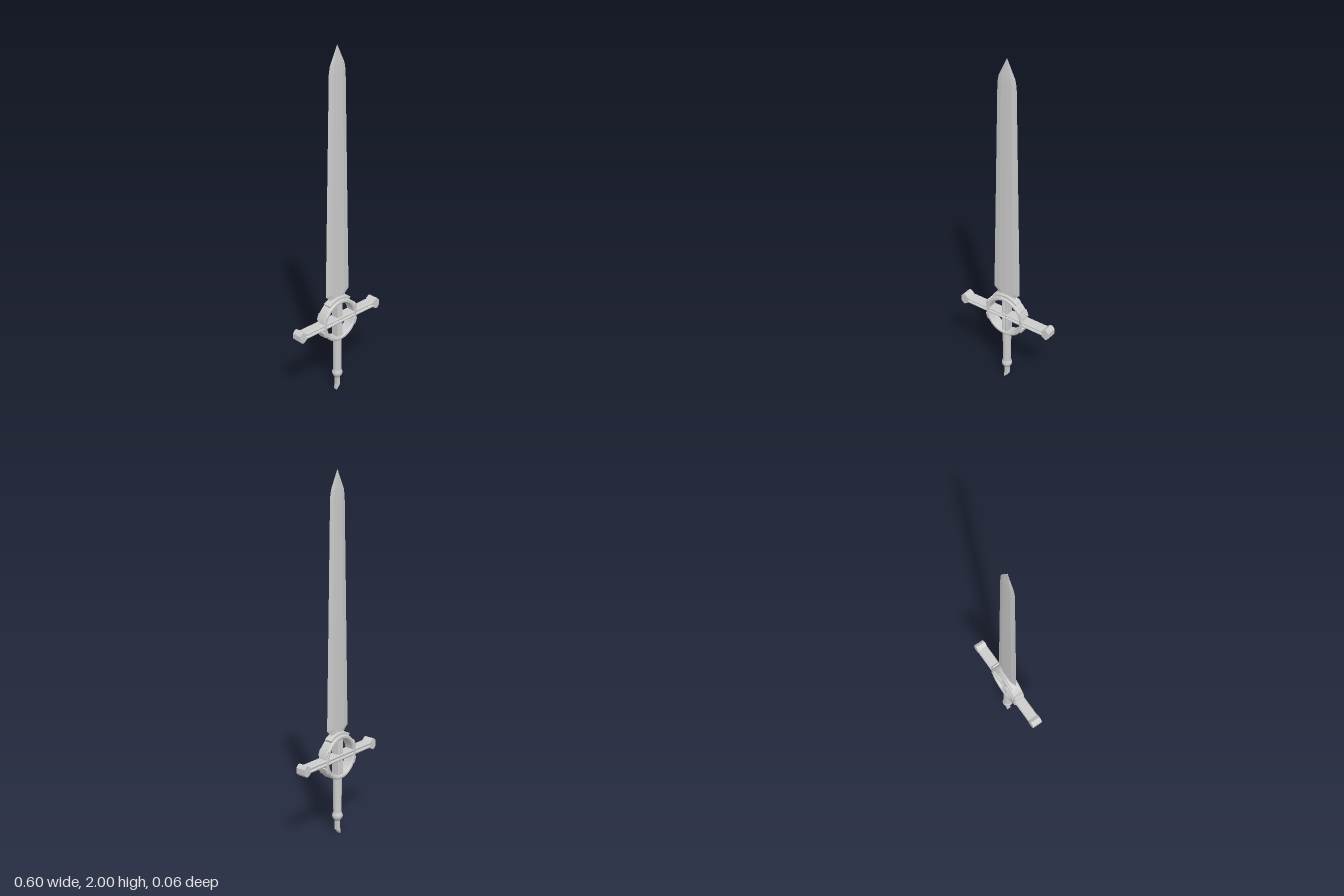
import * as THREE from 'three';

const CY = 0.458; // height of the guard ring centre
const flat = new THREE.MeshStandardMaterial({ color: 0xcccccc, flatShading: true, side: THREE.DoubleSide });
const smooth = new THREE.MeshStandardMaterial({ color: 0xcccccc, side: THREE.DoubleSide });

function add(group, name, geometry, material = flat) {
  const mesh = new THREE.Mesh(geometry, material);
  mesh.name = name;
  group.add(mesh);
  return mesh;
}

// Extrudes a shape to a total depth of 2 * half, centred on z = 0, with a chamfer
function slab(shape, half, bevel = 0, curveSegments = 8) {
  const g = new THREE.ExtrudeGeometry(shape, {
    depth: 2 * (half - bevel), bevelEnabled: bevel > 0, bevelSize: bevel, bevelThickness: bevel,
    bevelOffset: -bevel, bevelSegments: 1, curveSegments,
  });
  return g.translate(0, 0, bevel - half);
}

const polygon = (pts) => new THREE.Shape(pts.map(([x, y]) => new THREE.Vector2(x, y)));

// Band of a ring between two angles in degrees
function arcBand(inner, outer, from, to) {
  const a = THREE.MathUtils.degToRad(from), b = THREE.MathUtils.degToRad(to);
  const s = new THREE.Shape();
  s.absarc(0, 0, outer, a, b, false);
  s.absarc(0, 0, inner, b, a, true);
  return s;
}

// Bevelled blade lofted through eight-sided sections: [height, half width, half thickness]
function bladeGeometry() {
  const levels = [[0.57, 0.05, 0.008], [0.598, 0.06, 0.008], [0.62, 0.086, 0.008], [1.86, 0.058, 0.008],
    [1.9, 0.05, 0.007], [2, 0, 0]];
  const section = [[1, 0], [0.55, 0.85], [0, 1], [-0.55, 0.85], [-1, 0], [-0.55, -0.85], [0, -1], [0.55, -0.85]];
  const n = section.length, pos = [], index = [];
  for (const [y, w, t] of levels) for (const [x, z] of section) pos.push(x * w, y, z * t);
  for (let l = 0; l < levels.length - 1; l++) {
    for (let i = 0; i < n; i++) {
      const a = l * n + i, b = l * n + (i + 1) % n;
      index.push(a, a + n, b);
      if (l < levels.length - 2) index.push(b, a + n, b + n);
    }
  }
  const g = new THREE.BufferGeometry();
  g.setAttribute('position', new THREE.Float32BufferAttribute(pos, 3));
  g.setIndex(index);
  g.computeVertexNormals();
  return g;
}

// Bar along y with a shallow groove down its front and back
function groovedBar(halfWidth, halfDepth, length) {
  const w = halfWidth, d = halfDepth, c = 0.005, k = 0.007;
  const half = [[w, d - c], [w - c, d], [k, d], [0, d - k], [-k, d], [c - w, d], [-w, d - c]];
  const shape = polygon([...half, ...half.map(([x, y]) => [-x, -y])]);
  return slab(shape, length / 2).rotateX(Math.PI / 2);
}

export function createModel() {
  const sword = new THREE.Group();
  sword.name = 'sword';
  add(sword, 'blade', bladeGeometry());

  // Guard: ring, spokes, collar and lugs
  const guard = new THREE.Group();
  guard.name = 'guard';
  guard.position.y = CY;
  sword.add(guard);

  const ringProfile = [[0.102, -0.026], [0.108, -0.032], [0.119, -0.032], [0.125, -0.026], [0.125, 0.026],
    [0.119, 0.032], [0.108, 0.032], [0.102, 0.026], [0.102, -0.026]].map(([r, y]) => new THREE.Vector2(r, y));
  add(guard, 'guardRing', new THREE.LatheGeometry(ringProfile, 32).rotateX(Math.PI / 2));
  add(guard, 'bladeCollar', slab(arcBand(0.115, 0.14, 54, 126), 0.022, 0.003));
  add(guard, 'crossBar', groovedBar(0.018, 0.03, 0.55).rotateZ(Math.PI / 2));
  add(guard, 'verticalSpoke', groovedBar(0.02, 0.026, 0.225));

  for (const side of [1, -1]) {
    for (const mid of [23, -23]) {
      const angle = side > 0 ? mid : 180 - mid;
      add(guard, 'ringLug', slab(arcBand(0.112, 0.133, angle - 9, angle + 9), 0.03, 0.005, 3));
    }
    // Flared end of the cross bar
    const end = polygon([[0.255, -0.018], [0.276, -0.032], [0.286, -0.03], [0.3, -0.015],
      [0.3, 0.015], [0.286, 0.03], [0.276, 0.032], [0.255, 0.018]]);
    add(guard, 'crossBarEnd', slab(end, 0.03)).rotation.y = side > 0 ? 0 : Math.PI;
  }

  // Round grip swelling into the pommel
  const grip = [[0, 0.08], [0.016, 0.082], [0.02, 0.09], [0.026, 0.097], [0.03, 0.108], [0.029, 0.118],
    [0.025, 0.127], [0.023, 0.135], [0.024, 0.24], [0.025, 0.345]].map(([r, y]) => new THREE.Vector2(r, y));
  add(sword, 'grip', new THREE.LatheGeometry(grip, 24), smooth);

  // Slanted spike below the pommel
  const spike = polygon([[-0.014, 0], [0.013, 0.03], [0.013, 0.09], [-0.012, 0.09], [-0.012, 0.035], [-0.014, 0.025]]);
  add(sword, 'pommelSpike', slab(spike, 0.012, 0.002));
  return sword;
}
